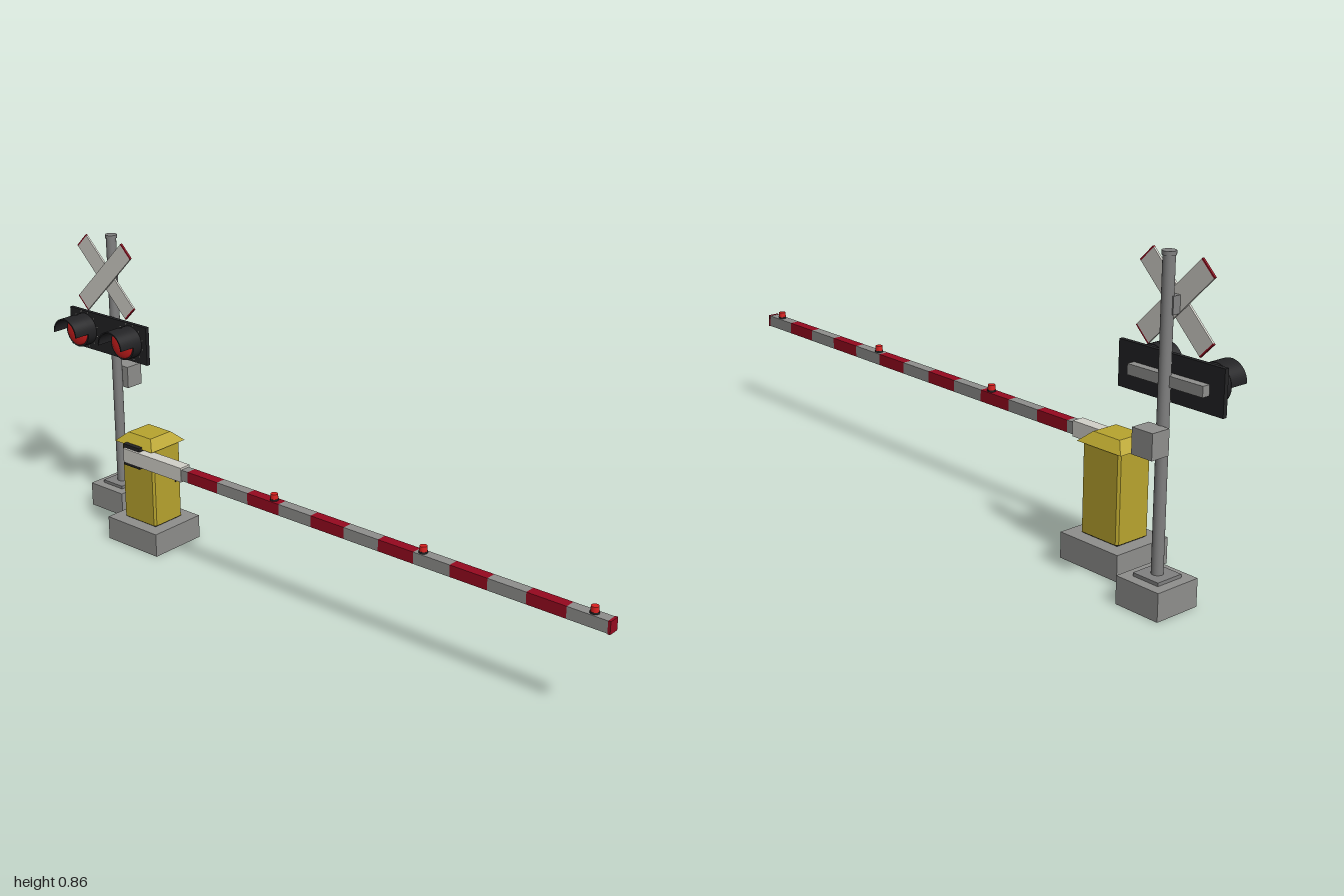
import * as THREE from 'three';

export function createModel() {
  const root = new THREE.Group();
  root.name = 'levelCrossingBarrier';

  const mat = (name, color) => {
    const m = new THREE.MeshStandardMaterial({ color });
    m.name = name;
    return m;
  };
  const concrete = mat('concreteGrey', 0x8e8e8c);
  const steel = mat('steelGrey', 0x808080);
  const yellow = mat('cabinetYellow', 0xb8a42e);
  const white = mat('paleWhite', 0xd2d0c9);
  const black = mat('signalBlack', 0x222224);
  black.side = THREE.DoubleSide;
  const stripeRed = mat('stripeRed', 0x96091f);
  const lampRed = mat('lampRed', 0xd8201f);

  const add = (name, geo, material, x = 0, y = 0, z = 0, parent = root) => {
    const mesh = new THREE.Mesh(geo, material);
    mesh.name = name;
    mesh.position.set(x, y, z);
    parent.add(mesh);
    return mesh;
  };
  // Box given by its limits on each axis
  const box = (name, material, x0, x1, y0, y1, z0, z1, parent = root) =>
    add(name, new THREE.BoxGeometry(x1 - x0, y1 - y0, z1 - z0), material,
      (x0 + x1) / 2, (y0 + y1) / 2, (z0 + z1) / 2, parent);
  const group = (name, x = 0, y = 0, z = 0) => {
    const g = new THREE.Group();
    g.name = name;
    g.position.set(x, y, z);
    root.add(g);
    return g;
  };

  // Signal post with footing, base plate, cap and junction box
  const px = -0.842, pz = -0.066;
  box('postFooting', concrete, px - 0.067, px + 0.067, 0, 0.073, pz - 0.068, pz + 0.067);
  box('postBasePlate', steel, px - 0.04, px + 0.04, 0.073, 0.082, pz - 0.04, pz + 0.04);
  add('post', new THREE.CylinderGeometry(0.015, 0.015, 0.77, 24), steel, px, 0.467, pz);
  add('postCap', new THREE.CylinderGeometry(0.0175, 0.0175, 0.01, 24), steel, px, 0.855, pz);
  box('junctionBox', concrete, px - 0.032, px + 0.032, 0.386, 0.452, -0.134, -0.078);

  // Crossed boards with red end strips
  const cross = group('crossSign', px, 0.737, 0);
  [[1, -0.034], [-1, -0.04]].forEach(([side, z]) => {
    const board = new THREE.Group();
    board.name = 'crossBoard';
    board.position.z = z;
    board.rotation.z = side * Math.PI / 4;
    cross.add(board);
    box('boardFace', white, -0.132, 0.132, -0.027, 0.027, -0.003, 0.003, board);
    for (const s of [-1, 1]) {
      add('boardEnd', new THREE.BoxGeometry(0.004, 0.054, 0.006), stripeRed, s * 0.134, 0, 0, board);
    }
  });
  box('crossBracket', steel, px - 0.018, px + 0.018, 0.713, 0.757, -0.066, -0.043);

  // Signal backboard and its rear mounting bar
  box('signalBackboard', black, -1, -0.676, 0.5, 0.616, -0.044, -0.032);
  box('signalMountBar', concrete, -0.957, -0.725, 0.543, 0.57, -0.066, -0.044);

  // Two hooded lamps, each ringed by small bolts
  for (const x of [-0.936, -0.744]) {
    const lamp = group('signalLamp', x, 0.56, 0);
    const housing = new THREE.CylinderGeometry(0.048, 0.048, 0.033, 32).rotateX(Math.PI / 2);
    add('lampHousing', housing, black, 0, 0, -0.0165, lamp);
    const lens = new THREE.SphereGeometry(0.043, 32, 6, 0, Math.PI * 2, 0, Math.PI / 2)
      .scale(1, 0.18, 1).rotateX(Math.PI / 2);
    add('lampLens', lens, lampRed, 0, 0, 0, lamp);
    // Half-round hood
    const arc = new THREE.Shape();
    arc.absarc(0, 0, 0.049, 0, Math.PI, false);
    arc.absarc(0, 0, 0.045, Math.PI, 0, true);
    const hood = new THREE.ExtrudeGeometry(arc, { depth: 0.053, bevelEnabled: false, curveSegments: 20 });
    add('lampHood', hood, black, 0, 0, -0.002, lamp);
    for (let i = 0; i < 12; i++) {
      const a = (i + 0.5) * Math.PI / 6;
      const bolt = new THREE.CylinderGeometry(0.0016, 0.0016, 0.002, 6).rotateX(Math.PI / 2);
      add('backboardBolt', bolt, white, 0.054 * Math.cos(a), 0.054 * Math.sin(a), -0.031, lamp);
    }
  }

  // Drive cabinet: footing, dark plinth, chamfered body, hipped roof
  const cx = -0.591, cz = 0.047;
  box('cabinetFooting', concrete, -0.69, -0.492, 0, 0.07, -0.043, 0.136);
  box('cabinetPlinth', black, cx - 0.059, cx + 0.059, 0.07, 0.076, cz - 0.05, cz + 0.05);
  const w = 0.064, d = 0.0555, c = 0.006;
  const plan = new THREE.Shape([
    [w, d - c], [w - c, d], [c - w, d], [-w, d - c],
    [-w, c - d], [c - w, -d], [w - c, -d], [w, c - d],
  ].map(([x, y]) => new THREE.Vector2(x, y)));
  const body = new THREE.ExtrudeGeometry(plan, { depth: 0.236, bevelEnabled: false }).rotateX(-Math.PI / 2);
  add('cabinetBody', body, yellow, cx, 0.074, cz);
  box('cabinetNeck', yellow, cx - 0.06, cx + 0.06, 0.309, 0.314, cz - 0.052, cz + 0.052);
  const roof = new THREE.CylinderGeometry(0.6 * Math.SQRT1_2, Math.SQRT1_2, 0.027, 4)
    .rotateY(Math.PI / 4).scale(0.15, 1, 0.134).toNonIndexed();
  roof.computeVertexNormals();
  add('cabinetRoof', roof, yellow, cx, 0.3265, 0.05);
  box('doorLock', black, cx + w, cx + w + 0.002, 0.187, 0.194, 0.012, 0.016);

  // Pivot and arm holder
  box('armPivot', black, -0.622, -0.558, 0.253, 0.318, 0.1, 0.126);
  box('armHolder', white, -0.616, -0.385, 0.264, 0.307, 0.097, 0.133);

  // Striped arm: alternating equal sections, red first
  const arm = group('barrierArm');
  const start = -0.361, step = 0.1128;
  box('armSection', concrete, -0.39, start, 0.268, 0.301, 0.1, 0.13, arm);
  for (let i = 0; i < 12; i++) {
    const x = start + i * step;
    box('armSection', i % 2 ? concrete : stripeRed, x, x + step, 0.268, 0.301, 0.1, 0.13, arm);
  }
  box('armTip', stripeRed, start + 12 * step, 1, 0.267, 0.302, 0.099, 0.131, arm);

  // Small warning lamps along the arm
  for (const x of [-0.05, 0.449, 0.947]) {
    add('armLampBase', new THREE.CylinderGeometry(0.012, 0.012, 0.005, 16), black, x, 0.3035, 0.115, arm);
    add('armLamp', new THREE.CylinderGeometry(0.01, 0.011, 0.014, 16), lampRed, x, 0.313, 0.115, arm);
  }

  return root;
}
